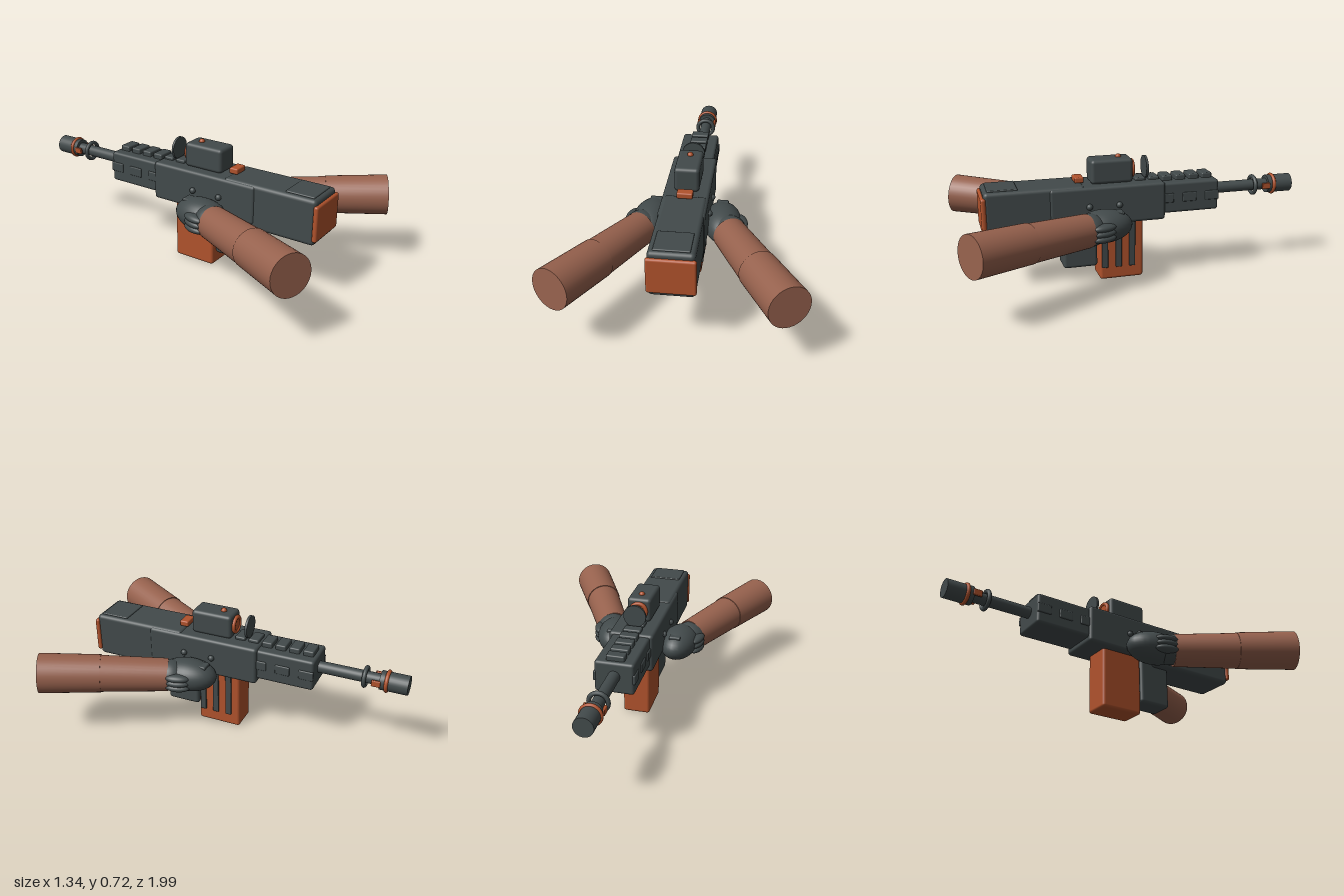
import * as THREE from 'three';
import { RoundedBoxGeometry } from 'three/addons/geometries/RoundedBoxGeometry.js';

const material = (name, color) => {
  const m = new THREE.MeshStandardMaterial({ color });
  m.name = name;
  return m;
};

export function createModel() {
  const model = new THREE.Group();
  model.name = 'rifleWithArms';
  const gunmetal = material('gunmetal', 0x424a4b);
  const orange = material('burntOrange', 0xb0522c);
  const sleeve = material('sleeveBrown', 0x96614d);

  const add = (name, geometry, mat, x, y, z, parent = model) => {
    const mesh = new THREE.Mesh(geometry, mat);
    mesh.name = name;
    mesh.position.set(x, y, z);
    parent.add(mesh);
    return mesh;
  };
  // Rounded box given by its min/max on each axis
  const block = (name, mat, [x0, x1], [y0, y1], [z0, z1], r = 0.01, parent = model) =>
    add(name, new RoundedBoxGeometry(x1 - x0, y1 - y0, z1 - z0, 3, r), mat,
      (x0 + x1) / 2, (y0 + y1) / 2, (z0 + z1) / 2, parent);
  // Cylinder lying along z
  const rod = (name, mat, r, y, z0, z1) => {
    const g = new THREE.CylinderGeometry(r, r, z1 - z0, 32).rotateX(Math.PI / 2);
    return add(name, g, mat, 0, y, (z0 + z1) / 2);
  };
  const ring = (name, mat, r, tube, y, z) =>
    add(name, new THREE.TorusGeometry(r, tube, 12, 32), mat, 0, y, z);

  // Body
  block('receiver', gunmetal, [-0.125, 0.125], [0.348, 0.568], [-0.18, 0.48], 0.018);
  block('stock', gunmetal, [-0.118, 0.118], [0.32, 0.575], [0.28, 0.832], 0.022);
  block('stockTopPanel', gunmetal, [-0.092, 0.092], [0.56, 0.582], [0.645, 0.81], 0.006);
  block('buttPlate', orange, [-0.125, 0.125], [0.347, 0.546], [0.82, 0.848], 0.012);
  block('handguard', gunmetal, [-0.107, 0.107], [0.378, 0.556], [-0.505, -0.16], 0.016);
  for (const side of [-1, 1]) {
    for (const z of [-0.192, -0.328, -0.464]) {
      add('handguardVent', new RoundedBoxGeometry(0.016, 0.054, 0.084, 2, 0.006), gunmetal, side * 0.106, 0.468, z);
    }
    for (const z of [0.09, 0.26]) {
      const pin = new THREE.SphereGeometry(0.018, 16, 12);
      add('receiverPin', pin, gunmetal, side * 0.126, 0.458, z);
    }
  }
  for (let i = 0; i < 6; i++) {
    const z = -0.053 - i * 0.08;
    block('railSlat', gunmetal, [-0.05, 0.05], [0.54, 0.585], [z - 0.03, z + 0.03], 0.008);
  }

  // Barrel and muzzle
  rod('barrel', gunmetal, 0.033, 0.477, -0.9, -0.45);
  ring('barrelRing', gunmetal, 0.05, 0.012, 0.477, -0.765);
  rod('muzzle', gunmetal, 0.053, 0.477, -1, -0.848);
  ring('muzzleRing', orange, 0.052, 0.011, 0.477, -0.885);
  for (const side of [-1, 1]) {
    add('muzzleTab', new RoundedBoxGeometry(0.016, 0.036, 0.05, 2, 0.005), orange, side * 0.051, 0.477, -0.832);
  }

  // Sight
  block('sightHousing', gunmetal, [-0.068, 0.068], [0.565, 0.703], [-0.005, 0.235], 0.02);
  ring('sightRing', orange, 0.043, 0.011, 0.634, -0.012);
  rod('sightCollar', orange, 0.046, 0.634, -0.016, 0.01);
  rod('frontSightDisc', gunmetal, 0.064, 0.636, -0.098, -0.085);
  add('sightButton', new THREE.SphereGeometry(0.017, 16, 12), orange, 0, 0.703, 0.065);
  block('rearSight', orange, [-0.043, 0.043], [0.575, 0.608], [0.272, 0.325], 0.008);

  // Magazine and grip
  block('magazine', orange, [-0.078, 0.078], [0, 0.4], [-0.062, 0.193], 0.016);
  for (const z of [0.165, 0.085, 0.005]) {
    block('magazineRib', gunmetal, [0.07, 0.088], [0.073, 0.37], [z - 0.018, z + 0.018], 0.005);
  }
  block('grip', gunmetal, [-0.07, 0.07], [0.084, 0.38], [0.205, 0.402], 0.018);

  // Sleeve section between two points
  const tube = (name, a, b, r0, r1, parent) => {
    const dir = b.clone().sub(a);
    const mid = a.clone().add(b).multiplyScalar(0.5);
    const mesh = add(name, new THREE.CylinderGeometry(r1, r0, dir.length(), 36), sleeve, mid.x, mid.y, mid.z, parent);
    mesh.quaternion.setFromUnitVectors(new THREE.Vector3(0, 1, 0), dir.normalize());
  };

  // Arms, mirrored by position
  for (const side of [-1, 1]) {
    const arm = new THREE.Group();
    arm.name = side > 0 ? 'leftArm' : 'rightArm';
    model.add(arm);
    const point = (x, y, z) => new THREE.Vector3(side * x, y, z);
    tube('forearm', point(0.243, 0.363, 0.305), point(0.415, 0.383, 0.65), 0.094, 0.104, arm);
    tube('sleeveCuff', point(0.41, 0.383, 0.64), point(0.569, 0.4, 0.942), 0.107, 0.113, arm);

    const ellipsoid = (name, rx, ry, rz, x, y, z, turn = 0) => {
      const g = new THREE.SphereGeometry(1, 28, 20).scale(rx, ry, rz);
      add(name, g, gunmetal, side * x, y, z, arm).rotation.y = side * turn;
    };
    ellipsoid('palm', 0.105, 0.092, 0.165, 0.197, 0.367, 0.2, 0.12);
    ellipsoid('wrist', 0.092, 0.09, 0.09, 0.24, 0.365, 0.285);
    for (let i = 0; i < 3; i++) {
      ellipsoid('finger', 0.035, 0.023, 0.07, 0.298, 0.33 + i * 0.03, 0.22, 0.25);
    }
    // Knuckle plate on the back of the glove
    add('knucklePlate', new RoundedBoxGeometry(0.066, 0.03, 0.045, 2, 0.007), gunmetal, side * 0.187, 0.43, 0.108, arm);
  }
  return model;
}
